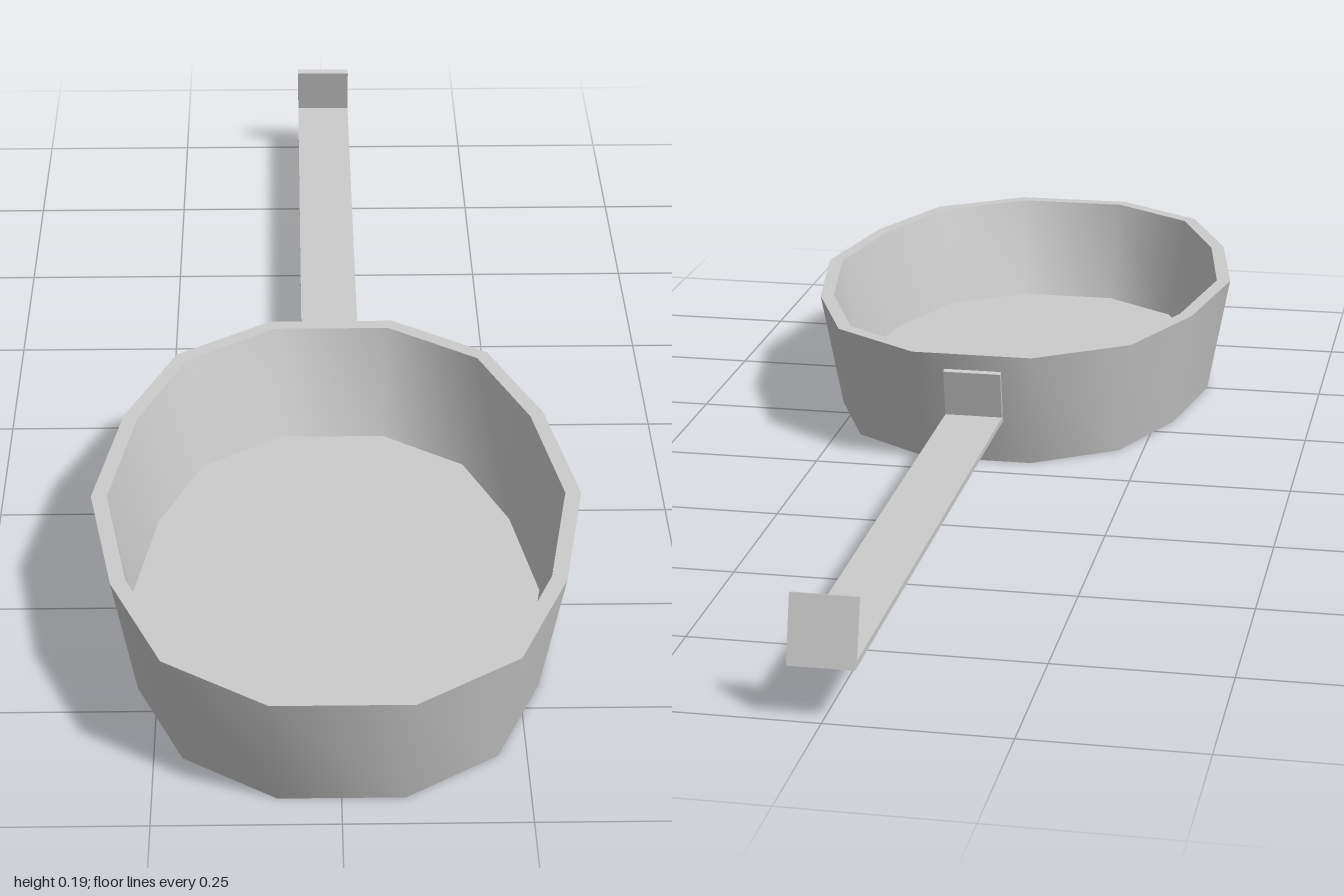
import * as THREE from 'three';
import { toCreasedNormals } from 'three/addons/utils/BufferGeometryUtils.js';

const material = new THREE.MeshStandardMaterial({ color: 0xcccccc });

// Half of the fourteen-sided oval, from back to front, as [x, z] about its centre
const HALF = [[0.094, -0.5], [0.235, -0.4], [0.308, -0.22], [0.345, 0], [0.308, 0.22], [0.235, 0.4], [0.094, 0.5]];
const OVAL = [...HALF, ...HALF.map(([x, z]) => [-x, z]).reverse()];

// Bowl cross-section: [x scale, z scale, y], outside bottom to inside floor
const RINGS = [
  [0, 0, 0], [0.9, 0.89, 0], [1, 1, 0.19],
  [0.935, 0.954, 0.19], [0.845, 0.858, 0.025], [0, 0, 0.025],
];

function bowlGeometry() {
  const n = OVAL.length;
  const point = (r, i) => {
    const [sx, sz, y] = RINGS[r];
    const [x, z] = OVAL[i % n];
    return [x * sx, y, z * sz + 0.5];
  };
  const positions = [];
  for (let r = 0; r < RINGS.length - 1; r++) {
    for (let i = 0; i < n; i++) {
      const a = point(r, i), b = point(r, i + 1), c = point(r + 1, i + 1), d = point(r + 1, i);
      // The first and last rings are single points, so they need one triangle only
      if (r < RINGS.length - 2) positions.push(...a, ...d, ...c);
      if (r > 0) positions.push(...a, ...c, ...b);
    }
  }
  const geometry = new THREE.BufferGeometry();
  geometry.setAttribute('position', new THREE.Float32BufferAttribute(positions, 3));
  return toCreasedNormals(geometry, 0.75);
}

// Flat strip with a tab bent up at each end, as [z, y]
const STRIP = [
  [0.027, 0.076], [-1, 0.076], [-0.977, 0.167], [-0.967, 0.164],
  [-0.988, 0.085], [0.018, 0.085], [0.001, 0.16], [0.009, 0.163],
];

function handleGeometry() {
  const width = 0.09;
  const shape = new THREE.Shape(STRIP.map(([z, y]) => new THREE.Vector2(-z, y)));
  const geometry = new THREE.ExtrudeGeometry(shape, { depth: width, bevelEnabled: false });
  geometry.translate(0, 0, -width / 2);
  geometry.rotateY(Math.PI / 2);
  return geometry;
}

export function createModel() {
  const group = new THREE.Group();
  group.name = 'pan';
  const add = (name, geometry) => {
    const mesh = new THREE.Mesh(geometry, material);
    mesh.name = name;
    group.add(mesh);
  };
  add('bowl', bowlGeometry());
  add('handle', handleGeometry());
  return group;
}
